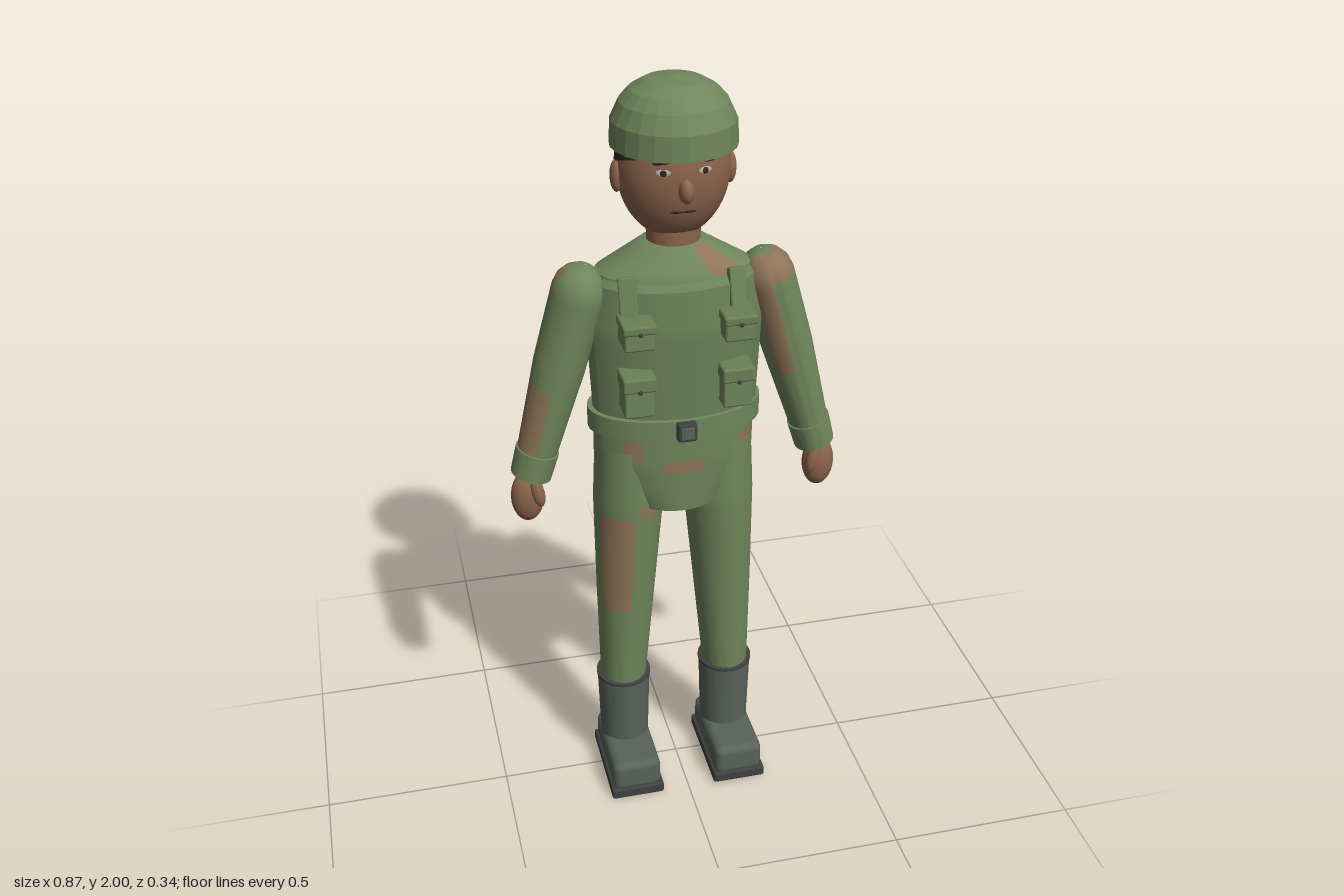
import * as THREE from 'three';
import { toCreasedNormals } from 'three/addons/utils/BufferGeometryUtils.js';
import { RoundedBoxGeometry } from 'three/addons/geometries/RoundedBoxGeometry.js';

const mat = (name, color) => {
  const m = new THREE.MeshStandardMaterial({ color });
  m.name = name;
  return m;
};

export function createModel() {
  const green = mat('field green', 0x6f865b);
  const brown = mat('camouflage brown', 0x8f7558);
  const skin = mat('skin', 0x8c654c);
  const hairMat = mat('dark hair', 0x2f2722);
  const bootMat = mat('boot grey', 0x59635a);
  const soleMat = mat('sole grey', 0x3f4142);
  const eyeWhite = mat('eye white', 0xb9b3a4);
  const helmetMat = mat('helmet green', 0x6f865b);
  helmetMat.side = THREE.DoubleSide;

  const model = new THREE.Group();
  const add = (name, geo, material, parent = model) => {
    const m = new THREE.Mesh(geo, material);
    m.name = name;
    parent.add(m);
    return m;
  };
  const at = (geo, x, y, z) => geo.translate(x, y, z);
  const ball = (x, y, z, rx, ry, rz) => at(new THREE.SphereGeometry(1, 24, 16).scale(rx, ry, rz), x, y, z);
  const box = (x, y, z, w, h, d, r = 0.006) => at(new RoundedBoxGeometry(w, h, d, 2, r), x, y, z);

  // Skin over horizontal ovals [y, cx, cz, rx, rz], listed top down.
  // Patches [angle0, angle1, y0, y1] take the second material; angle 0 faces front, 90 faces +x.
  function loft(sections, patches = [], a0 = -180, a1 = 180) {
    const segs = Math.round((a1 - a0) / 7.5);
    const rows = [];
    sections.forEach((s, i) => {
      const next = sections[i + 1];
      if (!next) return rows.push(s);
      const n = Math.max(1, Math.round((s[0] - next[0]) / 0.02));
      for (let k = 0; k < n; k++) rows.push(s.map((v, c) => v + (next[c] - v) * k / n));
    });
    const pos = [], plain = [], painted = [];
    rows.forEach(([y, cx, cz, rx, rz], i) => {
      for (let j = 0; j <= segs; j++) {
        const deg = a0 + (a1 - a0) * j / segs, a = deg * Math.PI / 180;
        pos.push(cx + rx * Math.sin(a), y, cz + rz * Math.cos(a));
        if (j === segs || i === rows.length - 1) continue;
        const my = (y + rows[i + 1][0]) / 2, md = deg + 3.75;
        const hit = patches.some(p => md > p[0] && md < p[1] && my > p[2] && my < p[3]);
        const t = i * (segs + 1) + j, b = t + segs + 1;
        (hit ? painted : plain).push(t, b, b + 1, t, b + 1, t + 1);
      }
    });
    const g = new THREE.BufferGeometry();
    g.setAttribute('position', new THREE.Float32BufferAttribute(pos, 3));
    g.setIndex([...plain, ...painted]);
    g.addGroup(0, plain.length, 0);
    g.addGroup(plain.length, painted.length, 1);
    return toCreasedNormals(g, 0.6);
  }
  const camo = [green, brown];

  // Torso, belt and hips
  const torso = [
    [1.605, 0, -0.025, 0.04, 0.04], [1.6, 0, -0.025, 0.08, 0.07], [1.53, 0, -0.03, 0.195, 0.117],
    [1.4, 0, -0.025, 0.222, 0.13], [1.13, 0, -0.02, 0.21, 0.12]];
  add('torso', loft(torso, [
    [24, 55, 1.53, 1.601], [70, 88, 1.2, 1.46], [-152, -126, 1.2, 1.42],
    [-166, -128, 1.5, 1.58], [110, 132, 1.5, 1.58]]), camo);
  add('belt', loft([
    [1.165, 0, -0.022, 0.2, 0.11], [1.163, 0, -0.022, 0.225, 0.134],
    [1.107, 0, -0.022, 0.225, 0.134], [1.105, 0, -0.022, 0.2, 0.11]]), green);
  add('buckleFrame', box(0, 1.138, 0.115, 0.05, 0.05, 0.036), soleMat);
  add('bucklePlate', box(0, 1.138, 0.132, 0.034, 0.034, 0.008, 0.002), bootMat);
  add('hips', loft([
    [1.12, 0, -0.025, 0.21, 0.122], [1.02, 0, -0.028, 0.21, 0.124],
    [0.95, 0, -0.03, 0.178, 0.123], [0.887, 0, -0.032, 0.135, 0.122], [0.885, 0, -0.03, 0.002, 0.002]], [
    [-45, -29, 1.04, 1.1], [-12, 12, 1.01, 1.04], [44, 66, 1.03, 1.09], [-132, -96, 1, 1.1],
    [-172, -149, 0.93, 1], [148, 172, 1.04, 1.1], [98, 128, 0.9, 1.05]]), camo);

  // Vest with straps and pouches
  const vestMat = mat('vest green', 0x6a8157);
  vestMat.side = THREE.DoubleSide;
  add('vestFront', loft([
    [1.525, 0, -0.03, 0.198, 0.119], [1.51, 0, -0.028, 0.212, 0.133],
    [1.4, 0, -0.025, 0.231, 0.142], [1.17, 0, -0.02, 0.219, 0.132]], [], -67.5, 67.5), vestMat);
  for (const s of [-1, 1]) {
    const strap = add('vestStrap', new RoundedBoxGeometry(0.045, 0.1, 0.02, 2, 0.005), vestMat);
    strap.position.set(s * 0.135, 1.497, 0.076);
    strap.rotation.set(-0.3, s * 0.25, 0);
    for (const [y, h, front] of [[1.422, 0.066, 0.155], [1.258, 0.106, 0.146]]) {
      const pouch = new THREE.Group();
      pouch.name = 'pouch';
      model.add(pouch);
      const x = s * 0.124, d = front - 0.07, lid = h * 0.36;
      add('pouchBody', box(x, y, 0.07 + d / 2, 0.074, h, d), green, pouch);
      add('pouchFlap', box(x, y + h / 2 - lid / 2 + 0.003, 0.075 + d / 2, 0.083, lid, d + 0.006), vestMat, pouch);
      add('pouchButton', ball(x, y + h / 2 - lid + 0.006, front + 0.008, 0.006, 0.006, 0.004), soleMat, pouch);
    }
  }

  // Head, ears, nose
  const hy = 1.785, hz = -0.024, hr = [0.138, 0.178, 0.117];
  add('neck', loft([[1.68, 0, -0.025, 0.068, 0.065], [1.585, 0, -0.025, 0.066, 0.064]]), skin);
  add('head', at(new THREE.SphereGeometry(1, 36, 24).scale(...hr), 0, hy, hz), skin);
  add('nose', ball(0, 1.762, 0.106, 0.018, 0.029, 0.023), skin);
  const hair = new THREE.SphereGeometry(1, 36, 14, 0, Math.PI * 2, 0, 1.47);
  hair.rotateX(-0.205).scale(...hr.map(r => r * 1.03));
  add('hair', at(hair, 0, hy, hz), hairMat);

  // Painted face details lie on the head surface
  const onFace = (name, x, y, w, h, lift, material, roll = 0) => {
    const u = x / hr[0], v = (y - hy) / hr[1];
    const n = new THREE.Vector3(u, v, Math.sqrt(1 - u * u - v * v));
    const m = add(name, new THREE.SphereGeometry(1, 12, 8).scale(w / 2, h / 2, 0.003), material);
    m.position.set(x, y, hz + n.z * hr[2] + lift);
    m.rotation.set(-v * 0.6, Math.atan2(n.x / hr[0], n.z / hr[2]), roll, 'YXZ');
  };
  for (const s of [-1, 1]) {
    add('ear', ball(s * 0.138, 1.768, -0.023, 0.016, 0.04, 0.02), skin);
    onFace('eye', s * 0.05, 1.803, 0.036, 0.017, 0, eyeWhite);
    onFace('pupil', s * 0.05, 1.803, 0.016, 0.016, 0.002, hairMat);
    onFace('eyebrow', s * 0.053, 1.826, 0.045, 0.008, 0.001, hairMat, -s * 0.12);
    onFace('mouth', s * 0.015, 1.703, 0.034, 0.006, 0, hairMat);
  }

  // Faceted helmet
  const shell = [[0.145, 1.843], [0.153, 1.84], [0.15, 1.9], [0.13, 1.943], [0.105, 1.97], [0.07, 1.99], [0.001, 2]];
  const helmet = new THREE.LatheGeometry(shell.map(p => new THREE.Vector2(...p)), 24).toNonIndexed();
  helmet.computeVertexNormals();
  add('helmet', at(helmet, 0, 0, -0.02), helmetMat);

  for (const s of [-1, 1]) {
    // Sleeve hangs from the shoulder, tilted outward
    const arm = new THREE.Group();
    arm.name = s > 0 ? 'leftArm' : 'rightArm';
    arm.position.set(s * 0.238, 1.488, -0.017);
    arm.rotation.z = s * 0.28;
    model.add(arm);
    add('sleeve', loft([
      [0.068, 0, 0, 0.002, 0.002], [0.063, 0, 0, 0.025, 0.03], [0.05, 0, 0, 0.045, 0.053],
      [0.028, 0, 0, 0.061, 0.072], [0, 0, 0, 0.067, 0.08], [-0.2, 0, 0.003, 0.066, 0.072],
      [-0.5, 0, 0.01, 0.048, 0.051]],
    s > 0 ? [[-60, 120, 0, 0.06], [-52, -4, -0.27, 0], [110, 152, -0.42, -0.22]]
      : [[-180, -80, -0.02, 0.05], [-102, -18, -0.44, -0.26]]), camo, arm);
    add('cuff', loft([
      [-0.438, 0, 0.01, 0.045, 0.045], [-0.44, 0, 0.01, 0.056, 0.058],
      [-0.512, 0, 0.01, 0.053, 0.056], [-0.514, 0, 0.01, 0.002, 0.002]]), green, arm);
    add('hand', ball(s * 0.392, 0.932, -0.004, 0.043, 0.072, 0.034), skin);
    const thumb = add('thumb', ball(0, 0, 0, 0.017, 0.042, 0.016), skin);
    thumb.position.set(s * 0.368, 0.952, 0.022);
    thumb.rotation.z = -s * 0.2;

    // Trouser leg
    add(s > 0 ? 'leftLeg' : 'rightLeg', loft([
      [1.06, s * 0.118, -0.03, 0.088, 0.1], [0.88, s * 0.122, -0.03, 0.093, 0.103],
      [0.6, s * 0.135, -0.025, 0.079, 0.085], [0.29, s * 0.148, -0.02, 0.062, 0.07]],
    s > 0 ? [[70, 106, 0.56, 0.9], [130, 172, 0.33, 0.55], [140, 166, 0.72, 0.85]]
      : [[-66, 0, 0.56, 0.87], [10, 46, 0.85, 0.9], [-152, -100, 0.75, 0.95], [-162, -100, 0.33, 0.52]]), camo);

    // Boot
    const boot = new THREE.Group();
    boot.name = s > 0 ? 'leftBoot' : 'rightBoot';
    model.add(boot);
    const x = s * 0.147;
    add('bootShaft', loft([
      [0.312, x, -0.02, 0.06, 0.064], [0.31, x, -0.02, 0.073, 0.076], [0.06, x, -0.02, 0.066, 0.071]]), bootMat, boot);
    add('bootRim', loft([
      [0.316, x, -0.02, 0.062, 0.066], [0.314, x, -0.02, 0.075, 0.078],
      [0.306, x, -0.02, 0.075, 0.078], [0.304, x, -0.02, 0.07, 0.072]]), soleMat, boot);
    add('bootFoot', box(x, 0.065, 0.03, 0.136, 0.092, 0.262, 0.022), bootMat, boot);
    add('bootSole', box(x, 0.016, 0.029, 0.148, 0.032, 0.276, 0.007), soleMat, boot);
  }
  return model;
}
